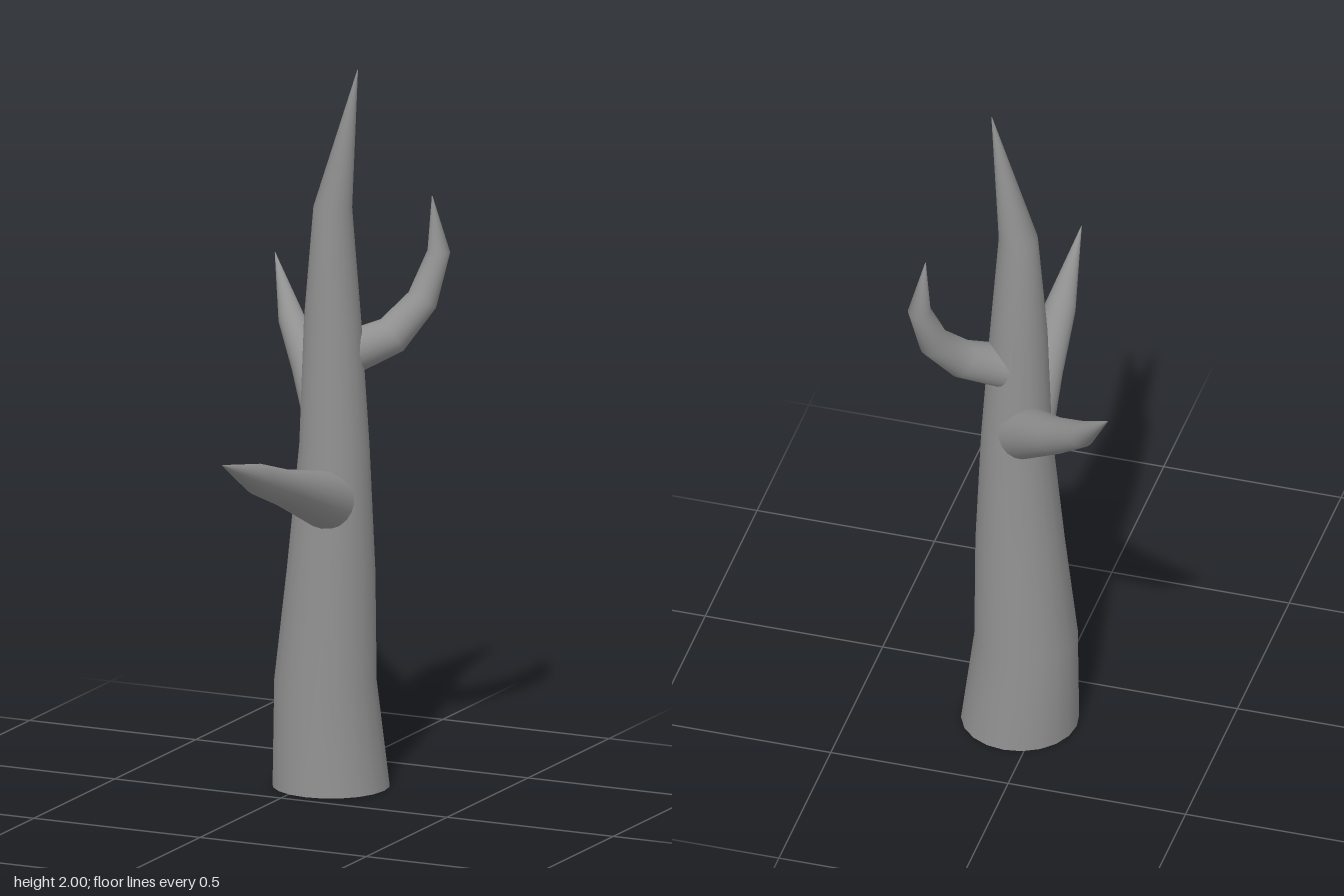
import * as THREE from 'three';

const SIDES = 20;

// Tapered limb: rings of the given radii around a path, ending in a point.
// Each stop is [x, y, z, radius]; level keeps the rings horizontal.
function limb(name, stops, material, level = false) {
  const pts = stops.map(s => new THREE.Vector3(s[0], s[1], s[2]));
  const pos = [], index = [];
  const last = stops.length - 1;
  const normal = new THREE.Vector3(1, 0, 0);
  if (!level) normal.set(0, 1, 0);
  stops.forEach((s, i) => {
    const t = new THREE.Vector3();
    if (level) t.set(0, 1, 0);
    else {
      if (i > 0) t.add(pts[i].clone().sub(pts[i - 1]).normalize());
      if (i < last) t.add(pts[i + 1].clone().sub(pts[i]).normalize());
      t.normalize();
    }
    // carry the ring direction along the path without twist
    normal.addScaledVector(t, -normal.dot(t)).normalize();
    const side = t.clone().cross(normal);
    for (let j = 0; j < SIDES; j++) {
      const a = j / SIDES * Math.PI * 2;
      const p = pts[i].clone()
        .addScaledVector(normal, Math.cos(a) * s[3])
        .addScaledVector(side, Math.sin(a) * s[3]);
      pos.push(p.x, p.y, p.z);
    }
  });
  for (let i = 0; i < last; i++) {
    for (let j = 0; j < SIDES; j++) {
      const k = (j + 1) % SIDES;
      const a = i * SIDES + j, b = i * SIDES + k;
      index.push(a, b, b + SIDES);
      if (i < last - 1) index.push(a, b + SIDES, a + SIDES);
      else index.push(a, b + SIDES, a + SIDES);
    }
  }
  // flat end cap with its own vertices
  const c = pos.length / 3;
  pos.push(...pos.slice(0, SIDES * 3));
  for (let j = 1; j < SIDES - 1; j++) index.push(c, c + j + 1, c + j);

  const geo = new THREE.BufferGeometry();
  geo.setAttribute('position', new THREE.Float32BufferAttribute(pos, 3));
  geo.setIndex(index);
  geo.computeVertexNormals();
  const mesh = new THREE.Mesh(geo, material);
  mesh.name = name;
  return mesh;
}

export function createModel() {
  const bark = new THREE.MeshStandardMaterial({ color: 0x909090 });
  bark.name = 'grey bark';

  const tree = new THREE.Group();
  tree.name = 'bareTree';
  tree.add(
    limb('trunk', [
      [0.055, 0, -0.197, 0.16],
      [0.038, 0.29, -0.197, 0.14],
      [0.055, 0.6, -0.197, 0.121],
      [0.065, 0.95, -0.197, 0.096],
      [0.058, 1.3, -0.2, 0.078],
      [0.06, 1.61, -0.197, 0.053],
      [0.135, 2, -0.197, 0.001],
    ], bark, true),
    limb('frontBranch', [
      [0.078, 0.81, -0.125, 0.08],
      [0.09, 0.908, 0.16, 0.051],
      [0.102, 0.975, 0.35, 0.043],
      [0.115, 1.07, 0.6, 0.001],
    ], bark),
    limb('backBranch', [
      [0.03, 1.0, -0.25, 0.075],
      [-0.1, 1.11, -0.385, 0.051],
      [-0.205, 1.208, -0.485, 0.036],
      [-0.31, 1.355, -0.6, 0.001],
    ], bark),
    limb('curledBranch', [
      [0.095, 1.2, -0.235, 0.06],
      [0.19, 1.245, -0.295, 0.053],
      [0.25, 1.335, -0.36, 0.043],
      [0.279, 1.465, -0.403, 0.031],
      [0.265, 1.62, -0.39, 0.001],
    ], bark),
  );
  return tree;
}
